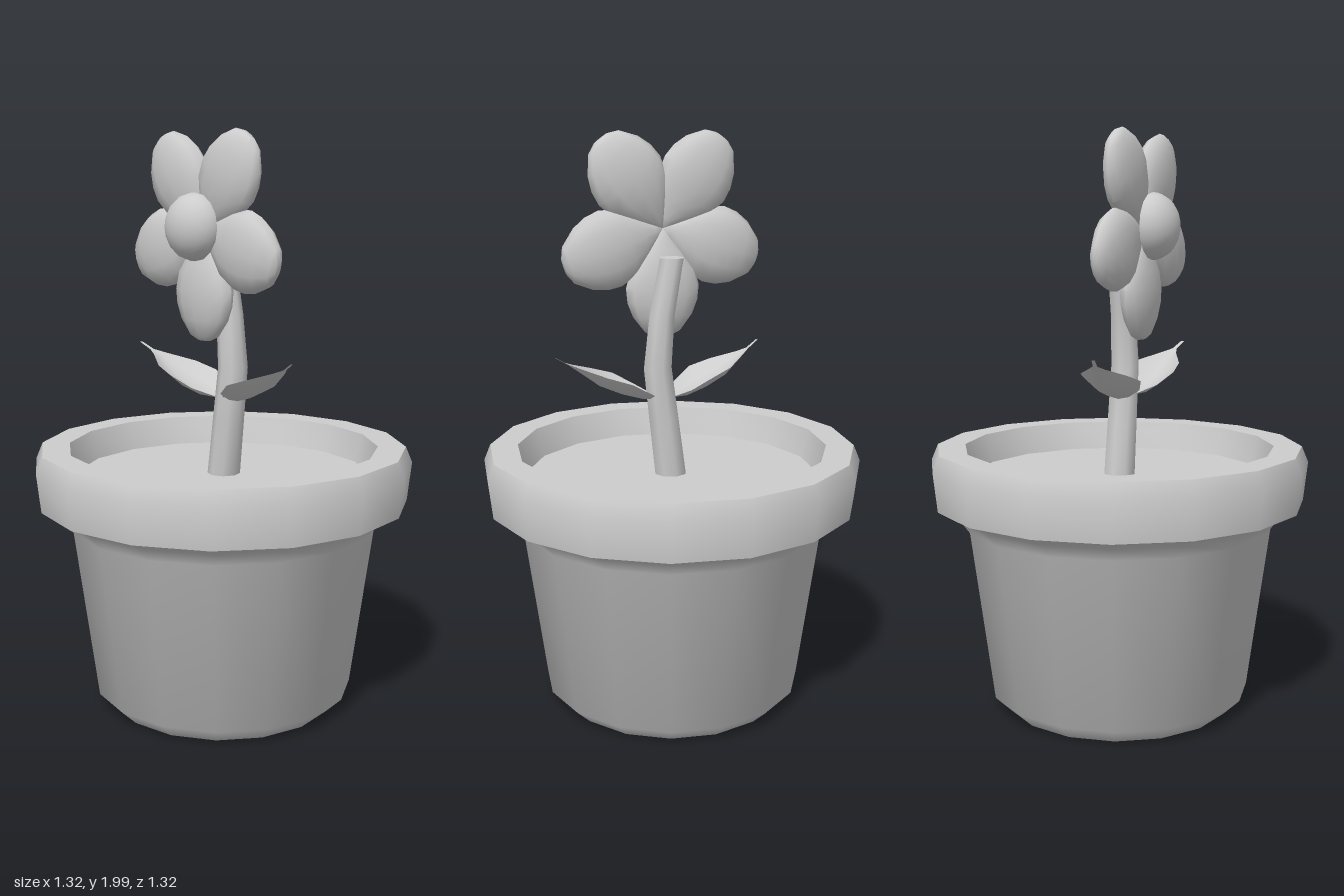
import * as THREE from 'three';
import { toCreasedNormals } from 'three/addons/utils/BufferGeometryUtils.js';

// Surface through rows of points; closed rows wrap round into tubes
function loft(rows, closed, crease) {
  const n = rows[0].length, index = [];
  for (let i = 0; i < rows.length - 1; i++) {
    for (let j = 0; j < (closed ? n : n - 1); j++) {
      const k = (j + 1) % n;
      const a = i * n + j, b = i * n + k, c = a + n, d = b + n;
      index.push(a, b, d, a, d, c);
    }
  }
  const g = new THREE.BufferGeometry();
  g.setAttribute('position', new THREE.Float32BufferAttribute(rows.flat(2), 3));
  g.setIndex(index);
  return toCreasedNormals(g, crease);
}

// Elliptical ring in the local x/z plane at height y
function ring(x, y, z, rx, rz, sides) {
  return Array.from({ length: sides }, (_, j) => {
    const a = -(j / sides) * Math.PI * 2;
    return [x + rx * Math.cos(a), y, z + rz * Math.sin(a)];
  });
}

// Cupped leaf: x, y, z of the midrib, half width, lift of the edges
const LEAF = [
  [0.04, 1.09, 0.01, 0.015, 0],
  [0.10, 1.09, 0.02, 0.08, 0.035],
  [0.17, 1.11, 0.03, 0.105, 0.055],
  [0.25, 1.145, 0.037, 0.087, 0.045],
  [0.33, 1.205, 0.05, 0.03, 0.012],
  [0.365, 1.23, 0.06, 0.008, 0],
  [0.41, 1.255, 0.075, 0.006, 0],
];
function leafGeometry(side) {
  const across = side > 0 ? [-1, -0.5, 0, 0.5, 1] : [1, 0.5, 0, -0.5, -1];
  const rows = LEAF.map(([x, y, z, w, lift]) =>
    across.map((s) => [0.025 + side * (x - 0.025), y + lift * s * s, z + w * s]));
  return loft(rows, false, 1.2);
}

export function createModel() {
  const model = new THREE.Group();
  model.name = 'pottedFlower';
  const grey = new THREE.MeshStandardMaterial({ color: 0xcccccc, side: THREE.DoubleSide });
  grey.name = 'lightGrey';
  const add = (parent, name, geometry) => {
    const mesh = new THREE.Mesh(geometry, grey);
    mesh.name = name;
    parent.add(mesh);
    return mesh;
  };

  // Pot with thick rim
  const profile = [
    [0, 0], [0.40, 0], [0.457, 0.055], [0.537, 0.65], [0.57, 0.695], [0.61, 0.73],
    [0.645, 0.73], [0.66, 0.865], [0.637, 0.92], [0.54, 0.92], [0.51, 0.82],
  ].map(([x, y]) => new THREE.Vector2(x, y));
  add(model, 'pot', toCreasedNormals(new THREE.LatheGeometry(profile, 16), 0.83));

  // Soil
  const soil = add(model, 'soil', new THREE.CircleGeometry(0.51, 16));
  soil.rotation.x = -Math.PI / 2;
  soil.position.y = 0.82;

  // Bent, tapering stem with a flat top
  const stem = [
    [0.005, 0.82, 0.057], [0.03, 1.02, 0.054], [0.052, 1.2, 0.051],
    [0.036, 1.38, 0.046], [0, 1.575, 0.043], [0, 1.575, 0],
  ].map(([x, y, r]) => ring(x, y, 0, r, r, 8));
  add(model, 'stem', loft(stem, true, 0.9));

  // Leaves
  add(model, 'leftLeaf', leafGeometry(1));
  add(model, 'rightLeaf', leafGeometry(-1));

  // Flower: five puffy petals around a domed centre
  const flower = new THREE.Group();
  flower.name = 'flower';
  flower.position.set(0, 1.665, 0.083);
  model.add(flower);
  const petal = loft([
    [0, 0, 0], [0.03, 0.03, 0.014], [0.08, 0.075, 0.033], [0.14, 0.119, 0.047],
    [0.2, 0.135, 0.053], [0.25, 0.13, 0.051], [0.3, 0.11, 0.044],
    [0.355, 0.066, 0.027], [0.371, 0.03, 0.012], [0.371, 0, 0],
  ].map(([y, w, t]) => ring(0, y, 0, w, t, 12)), true, 1.2);
  for (let i = 0; i < 5; i++) {
    add(flower, 'petal', petal).rotation.z = Math.PI + (i * Math.PI * 2) / 5;
  }
  const dome = add(flower, 'flowerCentre',
    new THREE.SphereGeometry(0.113, 16, 8, 0, Math.PI * 2, 0, Math.PI / 2));
  dome.rotation.x = Math.PI / 2;
  dome.scale.y = 0.8;
  dome.position.set(0, 0.01, 0.042);

  return model;
}
